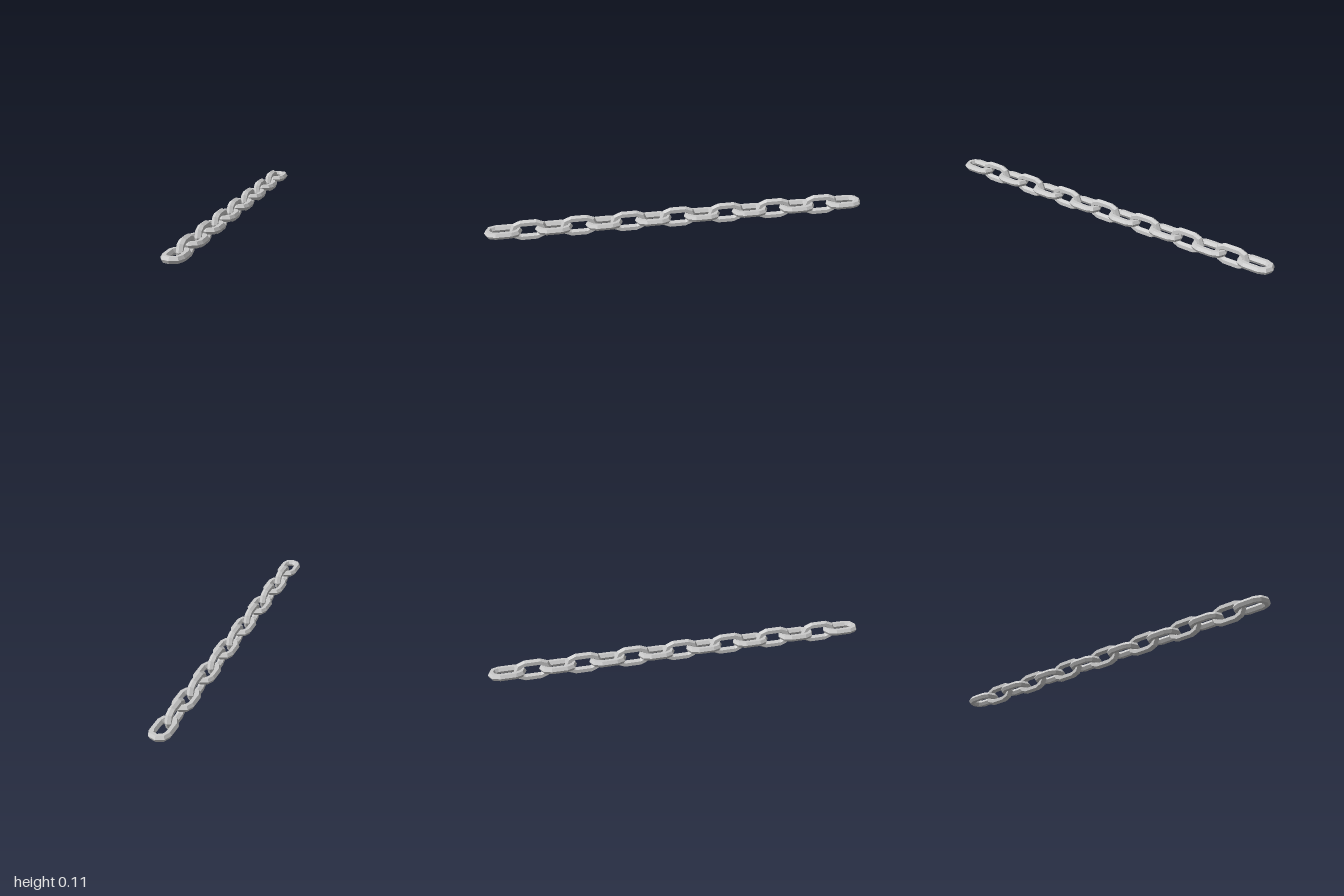
import * as THREE from 'three';

const BAR = 0.0185;     // radius of the six-sided bar
const BEND = 0.0388;    // radius of the rounded link ends
const STRAIGHT = 0.04;  // half length of the straight sides
const PITCH = 0.129;    // distance between neighbouring links
const COUNT = 15;

// One link lying in the xz plane: a hexagonal bar swept round a long loop
function linkGeometry() {
  const SIDES = 6, STEPS = 4;
  const rings = [];
  for (const end of [1, -1]) {
    for (let i = 0; i <= STEPS; i++) {
      const a = (i / STEPS) * Math.PI + (end > 0 ? 0 : Math.PI);
      const ring = [];
      for (let j = 0; j < SIDES; j++) {
        const b = (j / SIDES) * Math.PI * 2;
        const r = BEND + BAR * Math.cos(b);
        ring.push(r * Math.cos(a), BAR * Math.sin(b), r * Math.sin(a) + end * STRAIGHT);
      }
      rings.push(ring);
    }
  }
  const index = [];
  const n = rings.length;
  for (let i = 0; i < n; i++) {
    for (let j = 0; j < SIDES; j++) {
      const k = (j + 1) % SIDES, m = (i + 1) % n;
      const a = i * SIDES + j, b = i * SIDES + k, c = m * SIDES + k, d = m * SIDES + j;
      index.push(a, b, c, a, c, d);
    }
  }
  const geometry = new THREE.BufferGeometry();
  geometry.setAttribute('position', new THREE.Float32BufferAttribute(rings.flat(), 3));
  geometry.setIndex(index);
  const flat = geometry.toNonIndexed();
  flat.computeVertexNormals();
  return flat;
}

export function createModel() {
  const chain = new THREE.Group();
  chain.name = 'chain';
  const material = new THREE.MeshStandardMaterial({ color: 0xcccccc, flatShading: true });
  const geometry = linkGeometry();

  // Links alternate between lying flat and standing upright
  for (let i = 0; i < COUNT; i++) {
    const upright = i % 2 === 1;
    const link = new THREE.Mesh(geometry, material);
    link.name = upright ? 'uprightLink' : 'flatLink';
    link.position.set(0, BEND + BAR, (i - (COUNT - 1) / 2) * PITCH);
    if (upright) link.rotation.z = Math.PI / 2;
    chain.add(link);
  }
  return chain;
}
